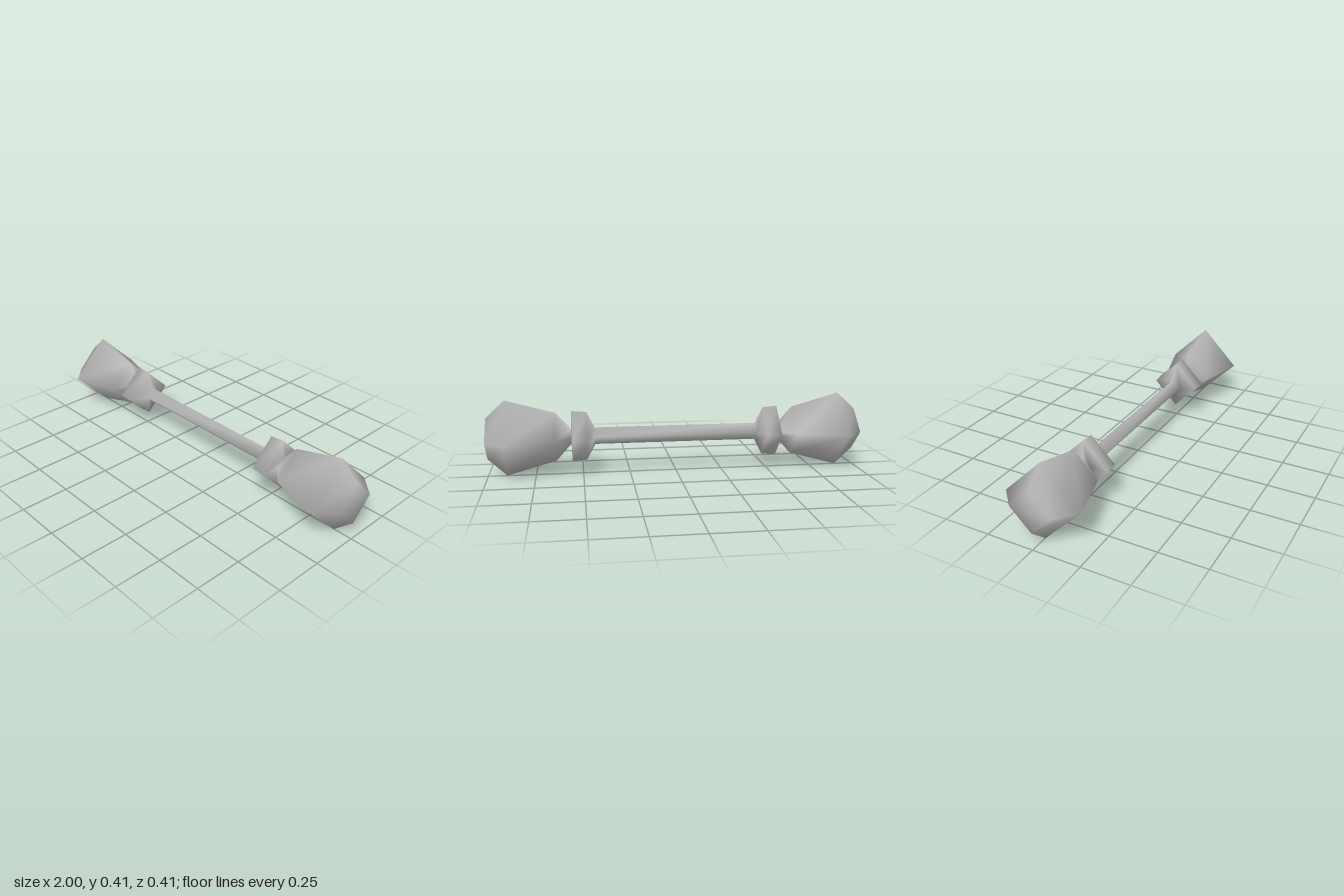
import * as THREE from 'three';
import { mergeVertices } from 'three/addons/utils/BufferGeometryUtils.js';

// Half profile from the bar out to the end cap: [distance along x, radius]
const HALF = [
  [0.435, 0.045], [0.478, 0.13], [0.556, 0.137], // bar end, collar
  [0.56, 0.04], [0.64, 0.13], [0.9, 0.2025], [1, 0.11], [1, 0], // neck, head, cap
];
const CENTRE_Y = 0.2025;

// Four-sided turned body along x, with normals smoothed across every edge
function turnedBody() {
  const mirrored = HALF.map(([x, r]) => [-x, r]).reverse();
  const points = [...mirrored, ...HALF].map(([x, r]) => new THREE.Vector2(r, x));
  const lathe = new THREE.LatheGeometry(points, 4);
  lathe.rotateZ(-Math.PI / 2);
  lathe.deleteAttribute('uv');
  lathe.deleteAttribute('normal');
  const body = mergeVertices(lathe, 1e-4);
  body.computeVertexNormals();
  return body;
}

// Keeps the faces whose centre lies between two x positions
function slice(body, from, to) {
  const part = body.clone();
  const x = body.attributes.position;
  const index = body.index.array;
  const kept = [];
  for (let i = 0; i < index.length; i += 3) {
    const [a, b, c] = [index[i], index[i + 1], index[i + 2]];
    if (a === b || b === c || c === a) continue;
    const mid = (x.getX(a) + x.getX(b) + x.getX(c)) / 3;
    if (mid > from && mid <= to) kept.push(a, b, c);
  }
  part.setIndex(kept);
  return part;
}

export function createModel() {
  const grey = new THREE.MeshStandardMaterial({ color: 0xb4b4b4 });
  grey.name = 'plain grey';

  const model = new THREE.Group();
  model.name = 'doubleHeadedBar';
  const body = turnedBody();

  const parts = [
    ['rightHead', -2, -0.56],
    ['rightCollar', -0.56, -0.435],
    ['bar', -0.435, 0.435],
    ['leftCollar', 0.435, 0.56],
    ['leftHead', 0.56, 2],
  ];
  for (const [name, from, to] of parts) {
    const mesh = new THREE.Mesh(slice(body, from, to), grey);
    mesh.name = name;
    mesh.position.y = CENTRE_Y;
    model.add(mesh);
  }
  return model;
}
